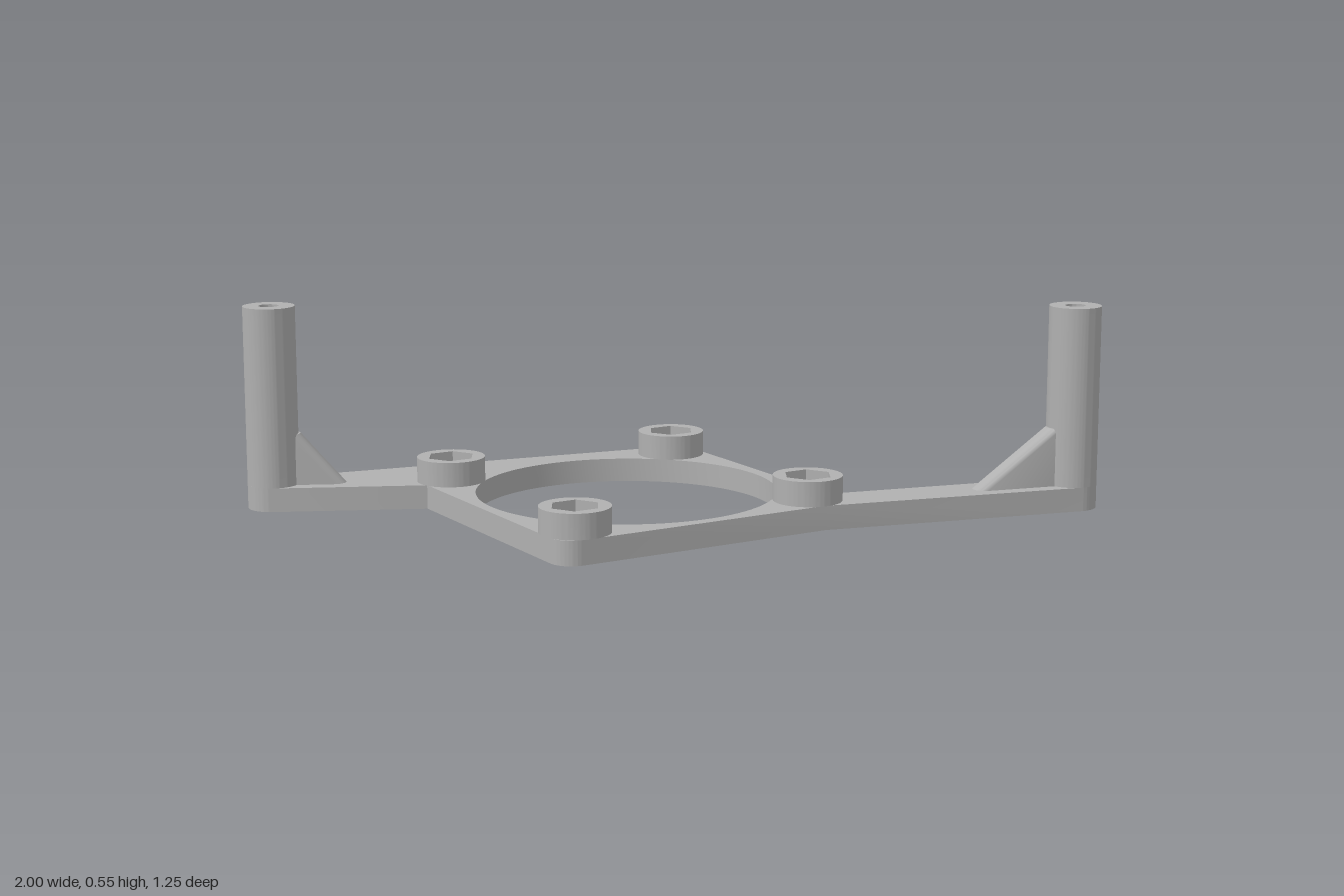
import * as THREE from 'three';
import { toCreasedNormals } from 'three/addons/utils/BufferGeometryUtils.js';
import { ConvexGeometry } from 'three/addons/geometries/ConvexGeometry.js';

const PLATE = 0.065;          // plate thickness
const CX = -0.15, CZ = 0.01;  // centre of the square frame
const POST_R = 0.07;

// Posts: position, inward direction of the arm, gusset reach and top height
const posts = [
  { name: 'left', x: 0.93, z: 0.556, angle: 0.238 + Math.PI, reach: 0.257, top: 0.222 },
  { name: 'right', x: -0.93, z: -0.556, angle: 0.448, reach: 0.165, top: 0.203 },
];

const circle = (x, z, r) => new THREE.Path().absarc(x, z, r, 0, Math.PI * 2, false);

// Extrudes a shape drawn in (x, z) upwards from y0 to y1
function extrudeUp(shape, y0, y1) {
  const g = new THREE.ExtrudeGeometry(shape, { depth: y1 - y0, bevelEnabled: false, curveSegments: 48 });
  g.rotateX(Math.PI / 2);
  g.translate(0, y1, 0);
  return toCreasedNormals(g, 0.35);
}

// Round shape centred on the origin
function disc(r) {
  const s = new THREE.Shape();
  s.absarc(0, 0, r, 0, Math.PI * 2, false);
  return s;
}

// Frame outline with both arms in one contour
function frameShape(bolts) {
  const [a, b] = posts, h = Math.PI / 2, c = 0.06;
  const x0 = -0.585, x1 = 0.29, z0 = -0.427, z1 = 0.447;
  const s = new THREE.Shape();
  s.moveTo(-0.5, z0);
  s.absarc(x1 - c, z0 + c, c, -h, 0, false);
  s.lineTo(x1, 0.333);
  s.absarc(a.x, a.z, POST_R, 0.238 - h, 0.238 + h, false);
  s.lineTo(0.2, z1);
  s.absarc(x0 + c, z1 - c, c, h, 2 * h, false);
  s.lineTo(x0, -0.315);
  s.absarc(b.x, b.z, POST_R, b.angle + h, b.angle + 3 * h, false);
  s.closePath();
  s.holes.push(circle(CX, CZ, 0.404));
  bolts.forEach(([x, z]) => s.holes.push(circle(x, z, 0.036)));
  return s;
}

// Sloping rib with a rounded edge: hull of three small discs
function gussetGeometry(reach, top) {
  const pts = [], r = 0.031;
  for (const [d, y] of [[reach, PLATE], [0.045, PLATE], [0.045, top]]) {
    for (let i = 0; i < 24; i++) {
      const t = (i / 24) * Math.PI * 2;
      pts.push(new THREE.Vector3(d + r * Math.cos(t), y, r * Math.sin(t)));
    }
  }
  return toCreasedNormals(new ConvexGeometry(pts), 0.5);
}

export function createModel() {
  const model = new THREE.Group();
  model.name = 'mountingBracket';
  const grey = new THREE.MeshStandardMaterial({ color: 0xb0b0b0 });
  grey.name = 'grey';
  const add = (name, geometry, x = 0, z = 0) => {
    const m = new THREE.Mesh(geometry, grey);
    m.name = name;
    m.position.set(x, 0, z);
    model.add(m);
    return m;
  };

  const bolts = [];
  for (const sx of [-1, 1]) for (const sz of [-1, 1]) bolts.push([CX + sx * 0.35, CZ + sz * 0.35]);

  add('frameWithArms', extrudeUp(frameShape(bolts), 0, PLATE));

  // Corner bosses with hexagonal nut pockets
  const bossShape = disc(0.0925);
  const hex = [];
  for (let i = 0; i < 6; i++) {
    const t = (i * Math.PI) / 3;
    hex.push(new THREE.Vector2(0.066 * Math.cos(t), 0.066 * Math.sin(t)));
  }
  bossShape.holes.push(new THREE.Path(hex));
  const boss = extrudeUp(bossShape, PLATE, 0.132);
  bolts.forEach(([x, z]) => add('nutBoss', boss, x, z));

  // Tall posts with a pilot hole, each braced by a gusset
  const postShape = disc(POST_R);
  postShape.holes.push(circle(0, 0, 0.027));
  const post = extrudeUp(postShape, PLATE, 0.552);
  for (const p of posts) {
    add(p.name + 'Post', post, p.x, p.z);
    // keep the hidden end of the rib inside the post wall, clear of the pilot hole
    add(p.name + 'Gusset', gussetGeometry(p.reach, p.top), p.x, p.z).rotation.y = -p.angle;
  }
  return model;
}
